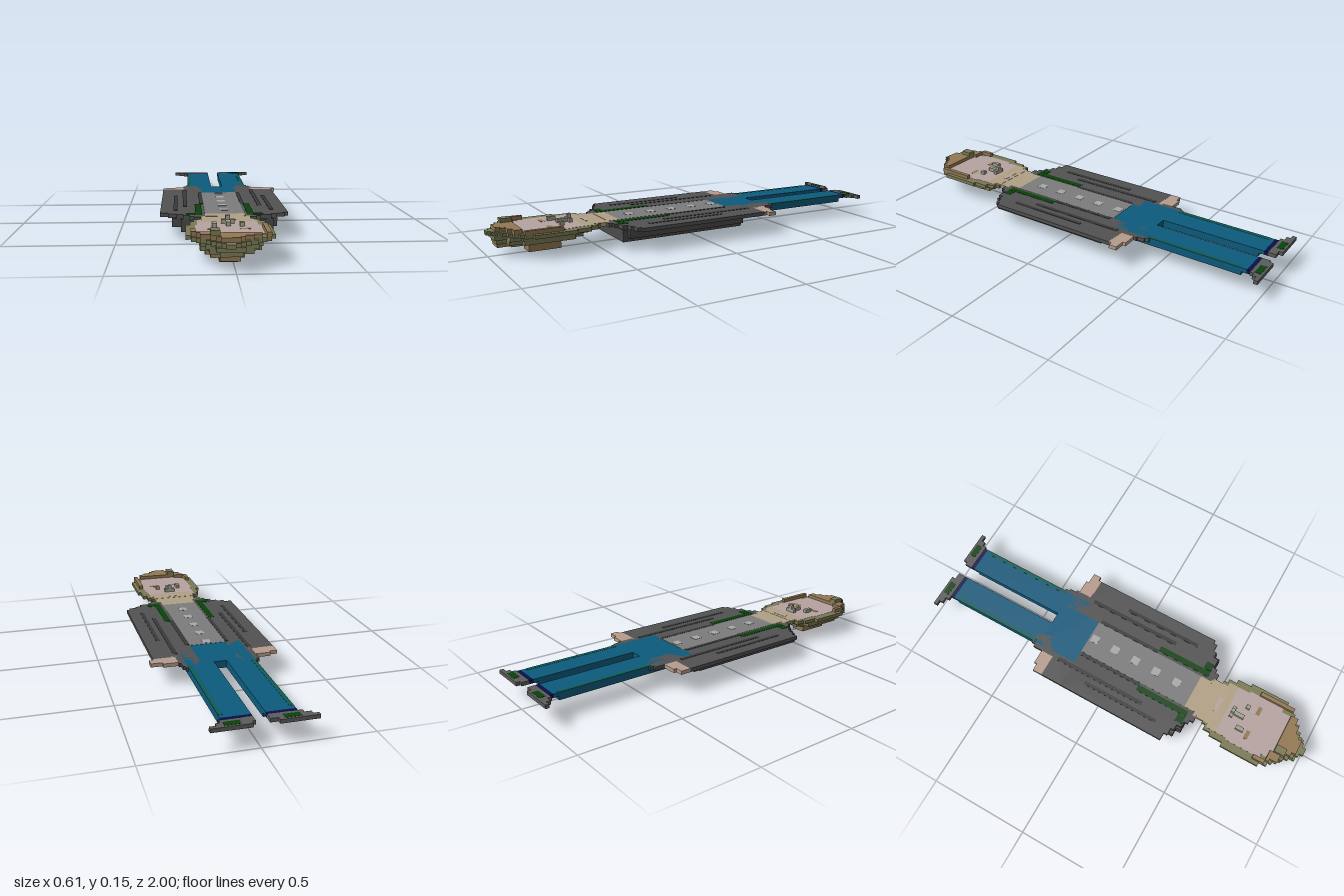
import * as THREE from 'three';

const TOP = 0.115, MID = 0.097; // the thin picture-like layer of the figure
const C = {
  jacket: 0x525252, dark: 0x3a3a3a, back: 0x4a4a4a, shirt: 0x7c7c7c, button: 0xa8a8a8,
  green: 0x0a420a, blue: 0x0d5a7c, teal: 0x0f5c58, navy: 0x0a0f45, shoe: 0x5c5c5c,
  skin: 0xb5a3a0, neck: 0xb0a084, hand: 0xb59c8c, olive: 0x7a7a55, brown: 0x927853, eye: 0xa0a090,
};
const mats = {};
const mat = (c) => (mats[c] ??= new THREE.MeshStandardMaterial({ color: c, flatShading: true }));

// Stepped slab: rows of [zStart, xMin, xMax], closed at zEnd
function slab(parent, name, color, y0, y1, rows, zEnd) {
  const right = [], left = [];
  rows.forEach(([z, a, b], i) => {
    const next = i + 1 < rows.length ? rows[i + 1][0] : zEnd;
    right.push([b, z], [b, next]);
    left.push([a, z], [a, next]);
  });
  const pts = [...right, ...left.reverse()].map(([x, z]) => new THREE.Vector2(x, -z));
  const geo = new THREE.ExtrudeGeometry(new THREE.Shape(pts), { depth: y1 - y0, bevelEnabled: false });
  geo.rotateX(-Math.PI / 2).translate(0, y0, 0);
  const mesh = new THREE.Mesh(geo, mat(color));
  mesh.name = name;
  parent.add(mesh);
}
const block = (p, name, c, x0, x1, y0, y1, z0, z1) => slab(p, name, c, y0, y1, [[z0, x0, x1]], z1);
// Thin coloured inlay on the upper face
const inlay = (p, name, c, x0, x1, z0, z1, lift = 0.001) =>
  block(p, name, c, x0, x1, TOP - 0.002, TOP + lift, z0, z1);

export function createModel() {
  const root = new THREE.Group();
  root.name = 'flatFigure';
  const group = (name) => {
    const g = new THREE.Group();
    g.name = name;
    root.add(g);
    return g;
  };

  // Legs, cuffs and shoes
  const legs = group('legs');
  block(legs, 'hips', C.blue, -0.17, 0.15, 0.079, TOP, -0.41, -0.2);
  for (const [x0, x1, side] of [[-0.17, -0.04, -1], [0.02, 0.15, 1]]) {
    block(legs, 'trouserLeg', C.blue, x0, x1, 0.079, TOP, -0.9, -0.41);
    const seam = side < 0 ? x0 : x1 - 0.019;
    inlay(legs, 'trouserSeam', C.teal, seam, seam + 0.019, -0.9, -0.43);
    block(legs, 'ankle', C.blue, x0, x1, MID, TOP, -0.925, -0.9);
    block(legs, 'cuff', C.navy, x0, x1, MID, TOP, -0.945, -0.925);
  }
  slab(legs, 'rightShoe', C.shoe, MID, TOP, [[-1, -0.245, -0.075], [-0.981, -0.22, -0.04], [-0.962, -0.19, -0.04]], -0.943);
  slab(legs, 'leftShoe', C.shoe, MID, TOP, [[-1, 0.035, 0.21], [-0.981, 0.02, 0.18], [-0.962, 0.02, 0.16]], -0.943);
  inlay(legs, 'shoePatch', C.green, -0.17, -0.1, -0.99, -0.96);
  inlay(legs, 'shoePatch', C.green, 0.08, 0.15, -0.99, -0.96);

  // Jacket plate with stepped shoulders
  const torso = group('torso');
  slab(torso, 'jacket', C.jacket, MID, TOP, [
    [-0.2, -0.305, 0.285], [0.365, -0.267, 0.267], [0.384, -0.23, 0.23],
    [0.4, -0.2, 0.2], [0.425, -0.17, 0.15],
  ], 0.445);
  slab(torso, 'rightJacketSide', C.jacket, MID, TOP, [
    [-0.445, -0.18, -0.13], [-0.425, -0.195, -0.115], [-0.39, -0.195, -0.1], [-0.31, -0.305, -0.1],
  ], -0.2);
  slab(torso, 'leftJacketSide', C.jacket, MID, TOP, [
    [-0.445, 0.1, 0.16], [-0.425, 0.09, 0.17], [-0.39, 0.08, 0.18], [-0.31, 0.08, 0.285],
  ], -0.2);
  block(torso, 'rightCollarTip', C.jacket, -0.15, -0.11, MID, TOP, 0.445, 0.465);
  block(torso, 'leftCollarTip', C.jacket, 0.09, 0.13, MID, TOP, 0.445, 0.465);
  // Hands
  slab(torso, 'rightHand', C.hand, MID, TOP, [[-0.375, -0.267, -0.18], [-0.36, -0.305, -0.18]], -0.305);
  slab(torso, 'leftHand', C.hand, MID, TOP, [[-0.375, 0.17, 0.25], [-0.36, 0.17, 0.305], [-0.32, 0.17, 0.285]], -0.305);
  // Thick back of the coat
  block(torso, 'coatBackUpper', C.back, -0.25, 0.23, 0.058, MID, -0.215, 0.405);
  block(torso, 'coatBackLower', C.back, -0.21, 0.21, 0.04, 0.058, -0.215, 0.43);
  block(torso, 'coatBackCollar', C.back, -0.21, 0.21, 0.058, MID, 0.405, 0.43);

  // Shirt, buttons, lapels and folds
  inlay(torso, 'shirt', C.shirt, -0.1, 0.08, -0.2, 0.39);
  for (let i = 0; i < 5; i++) {
    const z = -0.17 + i * 0.117;
    inlay(torso, 'button', C.button, -0.03, 0.01, z - 0.02, z + 0.02, 0.002);
  }
  for (const s of [-1, 1]) {
    const strip = (name, c, a, w, z0, z1) => {
      const x = -0.01 + s * a;
      inlay(torso, name, c, x - w / 2, x + w / 2, z0, z1, 0.0015);
    };
    strip('lapel', C.green, 0.118, 0.03, 0.14, 0.42);
    strip('shoulderPatch', C.green, 0.155, 0.04, 0.38, 0.42);
    strip('jacketEdge', C.dark, 0.1, 0.018, -0.19, 0.14);
    strip('sleeveSeam', C.dark, 0.18, 0.02, -0.28, 0.2);
    strip('sleeveFold', C.dark, 0.225, 0.018, -0.1, 0.3);
  }

  // Neck and head outline
  const head = group('head');
  slab(head, 'neck', C.neck, MID, TOP, [[0.445, -0.12, 0.1]], 0.5);
  inlay(head, 'throat', C.neck, -0.1, 0.08, 0.39, 0.45);
  slab(head, 'headPlate', C.olive, MID, TOP, [
    [0.5, -0.13, 0.115], [0.52, -0.155, 0.135], [0.56, -0.17, 0.155], [0.63, -0.19, 0.17],
    [0.83, -0.17, 0.15], [0.867, -0.15, 0.13], [0.885, -0.135, 0.11], [0.905, -0.11, 0.09],
    [0.925, -0.095, 0.06], [0.945, -0.075, 0.04], [0.962, -0.055, 0.02], [0.981, -0.038, 0],
  ], 1);
  slab(head, 'face', C.skin, TOP - 0.002, TOP + 0.001, [
    [0.58, -0.14, 0.12], [0.64, -0.15, 0.13], [0.82, -0.13, 0.11],
  ], 0.87);
  slab(head, 'chin', C.neck, TOP - 0.002, TOP + 0.001, [[0.5, -0.12, 0.1], [0.53, -0.14, 0.12]], 0.58);
  inlay(head, 'mouth', C.skin, -0.05, 0.03, 0.52, 0.54, 0.002);

  // Raised hair fringe, side locks and facial features
  slab(head, 'fringe', C.brown, TOP, 0.134, [
    [0.85, -0.15, -0.095], [0.867, -0.135, 0.11], [0.905, -0.095, 0.075],
    [0.925, -0.075, 0.04], [0.945, -0.055, 0.02],
  ], 0.965);
  block(head, 'fringeTuft', C.olive, -0.095, -0.057, 0.134, 0.153, 0.867, 0.92);
  block(head, 'rightLock', C.brown, -0.17, -0.15, TOP, 0.134, 0.79, 0.85);
  block(head, 'leftLock', C.brown, 0.13, 0.15, TOP, 0.134, 0.69, 0.87);
  block(head, 'noseBridge', C.eye, -0.02, 0, TOP, 0.134, 0.6, 0.67);
  block(head, 'noseBase', C.eye, -0.038, 0.019, TOP, 0.134, 0.6, 0.618);
  block(head, 'noseTip', C.eye, -0.02, 0, 0.134, 0.153, 0.6, 0.618);
  block(head, 'rightEye', C.eye, -0.08, -0.06, TOP, 0.134, 0.655, 0.695);
  block(head, 'leftEye', C.eye, 0.038, 0.058, TOP, 0.134, 0.655, 0.675);
  inlay(head, 'rightBrow', C.brown, -0.1, -0.055, 0.71, 0.73, 0.002);
  inlay(head, 'leftBrow', C.brown, 0.035, 0.08, 0.71, 0.73, 0.002);

  // Terraced back of the head
  slab(head, 'hairBackUpper', C.olive, 0.078, MID, [
    [0.51, -0.075, 0.04], [0.55, -0.115, 0.095], [0.6, -0.135, 0.115], [0.87, -0.115, 0.095], [0.92, -0.075, 0.04],
  ], 0.975);
  slab(head, 'hairBackMiddle', C.olive, 0.058, 0.078, [
    [0.57, -0.095, 0.075], [0.62, -0.135, 0.11], [0.86, -0.1, 0.075], [0.92, -0.06, 0.03],
  ], 0.965);
  slab(head, 'hairBackLower', C.brown, 0.04, 0.058, [
    [0.62, -0.08, 0.04], [0.66, -0.115, 0.04], [0.85, -0.095, 0.04], [0.9, -0.06, 0.02],
  ], 0.96);
  block(head, 'hairBun', C.brown, -0.057, 0.019, 0, 0.04, 0.66, 0.815);
  return root;
}
